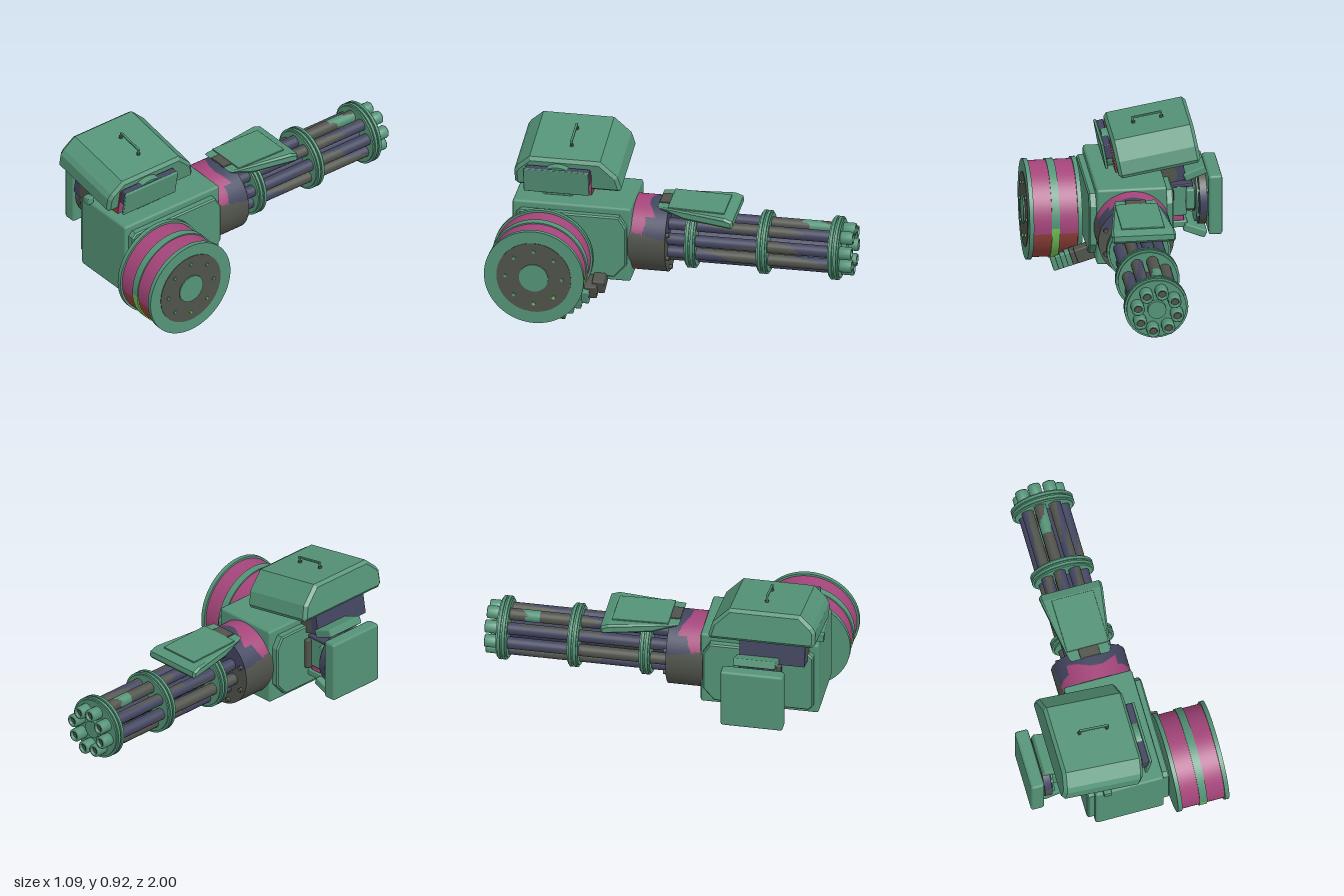
import * as THREE from 'three';
import { RoundedBoxGeometry } from 'three/addons/geometries/RoundedBoxGeometry.js';

const mat = (name, color) => Object.assign(new THREE.MeshStandardMaterial({ color }), { name });
const green = mat('sea green', 0x549377);
const magenta = mat('magenta', 0xa4457a);
const grey = mat('dark grey', 0x50524b);
const navy = mat('navy', 0x42455f);
const red = mat('rust red', 0x93403a);
const lime = mat('lime', 0x70c255);
const moss = mat('moss green', 0x3c612c);
const PALETTE = [green, magenta, grey, navy, red, lime];

function add(parent, name, geo, material, pos = [0, 0, 0]) {
  const m = new THREE.Mesh(geo, material);
  m.name = name;
  m.position.set(...pos);
  parent.add(m);
  return m;
}

// Sorts triangles into material groups by a rule on their centre
function paint(geo, rule) {
  const src = geo.index ? geo.toNonIndexed() : geo;
  const p = src.attributes.position, n = src.attributes.normal;
  const bins = PALETTE.map(() => []);
  for (let i = 0; i < p.count; i += 3) {
    const mid = f => (f(i) + f(i + 1) + f(i + 2)) / 3;
    const c = rule(mid(k => p.getX(k)), mid(k => p.getY(k)), mid(k => p.getZ(k)));
    bins[PALETTE.indexOf(c)].push(i, i + 1, i + 2);
  }
  const out = new THREE.BufferGeometry();
  const order = bins.flat();
  for (const [key, a] of [['position', p], ['normal', n]]) {
    out.setAttribute(key, new THREE.Float32BufferAttribute(order.flatMap(k => [a.getX(k), a.getY(k), a.getZ(k)]), 3));
  }
  let start = 0;
  bins.forEach((b, i) => { if (b.length) out.addGroup(start, b.length, i); start += b.length; });
  return out;
}

// Cylinder along x or z between two stations
function cyl(axis, r, a, b, sides = 40, rows = 1) {
  const g = new THREE.CylinderGeometry(r, r, b - a, sides, rows);
  if (axis === 'x') g.rotateZ(-Math.PI / 2).translate((a + b) / 2, 0, 0);
  else g.rotateX(Math.PI / 2).translate(0, 0, (a + b) / 2);
  return g;
}

const box = (w, h, d, r = 0.012) => new RoundedBoxGeometry(w, h, d, 1, r);
const under = c => [green, green, green, c, green, green];

// Side profile of [z, y] points extruded across x
function slab(profile, width, bevel) {
  const shape = new THREE.Shape(profile.map(([z, y]) => new THREE.Vector2(z, y)));
  const depth = width - 2 * bevel;
  return new THREE.ExtrudeGeometry(shape, {
    depth, bevelThickness: bevel, bevelSize: bevel, bevelOffset: -bevel, bevelSegments: 1,
  }).translate(0, 0, -depth / 2).rotateY(-Math.PI / 2);
}

function buildBody(root) {
  const g = new THREE.Group();
  g.name = 'receiver';
  root.add(g);
  add(g, 'receiverBox', box(0.395, 0.45, 0.67, 0.014), under(moss), [-0.017, 0.39, 0.57]);
  const side = [[0.88, 0.23], [0.855, 0.205], [0.32, 0.205], [0.255, 0.28], [0.255, 0.51], [0.295, 0.575], [0.855, 0.575], [0.88, 0.55]];
  for (const x of [-0.23, 0.195]) add(g, 'sidePlate', slab(side, 0.05, 0.008), green, [x, 0, 0]);
  add(g, 'rearLatch', box(0.047, 0.042, 0.04, 0.005), green, [-0.147, 0.631, 0.905]);

  // Round housing the barrels turn in
  const shell = cyl('z', 0.212, 0.04, 0.25, 96, 32);
  const camo = (x, y, z) => {
    const wave = 0.02 * Math.sin(x * 19 + 1) + 0.012 * Math.sin(y * 31);
    if (y < -0.15 && z > 0.19 + wave) return red;
    if (y < 0.08 + wave + (z - 0.14) * 0.25) return grey;
    return z > 0.13 + wave + (y < 0.16 ? 0.055 : 0) ? magenta : navy;
  };
  add(g, 'barrelHousing', paint(shell, camo), PALETTE, [-0.017, 0.388, 0]);
  for (let i = 0; i < 8; i++) {
    const a = (i + 0.5) * Math.PI / 4;
    add(g, 'housingBolt', cyl('z', 0.013, 0.022, 0.045, 10), grey, [-0.017 + 0.185 * Math.cos(a), 0.388 + 0.185 * Math.sin(a), 0]);
  }
}

function buildBarrels(root) {
  const g = new THREE.Group();
  g.name = 'barrelCluster';
  g.position.set(-0.014, 0.387, 0);
  root.add(g);
  const sleeve = new THREE.LatheGeometry([[0.02, 0], [0.037, 0], [0.037, 0.062], [0.033, 0.068], [0.022, 0.068], [0.022, 0.01]]
    .map(p => new THREE.Vector2(...p)), 18).rotateX(-Math.PI / 2);
  for (let i = 0; i < 8; i++) {
    const a = (i + 0.28) * Math.PI / 4;
    const x = 0.113 * Math.cos(a), y = 0.113 * Math.sin(a);
    // Long camouflage streaks, greyer towards the muzzle
    const tube = paint(cyl('z', 0.034, -0.95, 0.05, 20, 48).translate(x, y, 0), (px, py, pz) => {
      const v = Math.sin(pz * 6 + px * 30 + 0.6) + 0.8 * Math.sin(py * 34 - pz * 4 + 1);
      if (pz < -0.7 && v > 1.25) return green;
      return v > (pz < -0.5 ? -0.1 : 0.4) ? grey : navy;
    });
    add(g, 'barrel', tube, PALETTE);
    add(g, 'muzzleSleeve', sleeve, green, [x, y, -0.932]);
    add(g, 'muzzleBore', cyl('z', 0.0215, -0.985, -0.93, 16), grey, [x, y, 0]);
  }
  add(g, 'centreShaft', cyl('z', 0.05, -0.93, 0.05, 20), navy);
  add(g, 'centreCap', cyl('z', 0.052, -0.955, -0.92, 20), green);
  // Clamp rings: two flanges on a narrower drum
  for (const z of [-0.09, -0.497, -0.9]) {
    add(g, 'clampDrum', cyl('z', 0.167, z - 0.03, z + 0.03), green);
    for (const s of [-0.013, 0.013]) add(g, 'clampFlange', cyl('z', 0.179, z + s - 0.008, z + s + 0.008), green);
  }
}

function buildTopShield(root) {
  const g = new THREE.Group();
  g.name = 'topShield';
  g.position.x = -0.017;
  root.add(g);
  const geo = slab([[0.1, 0.603], [0.08, 0.588], [-0.05, 0.548], [-0.325, 0.53], [-0.338, 0.545], [-0.335, 0.575], [-0.29, 0.592]], 0.36, 0.012);
  const p = geo.attributes.position;
  for (let i = 0; i < p.count; i++) {
    const t = THREE.MathUtils.clamp((p.getZ(i) + 0.3) / 0.4, 0, 1);
    p.setX(i, p.getX(i) * (1 - 0.35 * t));
  }
  geo.computeVertexNormals();
  add(g, 'shieldPlate', geo, green);
  add(g, 'shieldPanel', box(0.24, 0.01, 0.32, 0.003), green, [0, 0.6, -0.12]).rotation.x = -0.028;
  add(g, 'shieldHinge', box(0.115, 0.012, 0.06, 0.004), grey, [0, 0.603, 0.068]);
}

function buildDrum(root) {
  const g = new THREE.Group();
  g.name = 'ammoDrum';
  g.position.set(0, 0.32, 0.717);
  root.add(g);
  add(g, 'drumShell', paint(cyl('x', 0.27, 0.25, 0.515, 144), (x, y) => y < -0.05 ? red : magenta), PALETTE);
  add(g, 'drumBand', paint(cyl('x', 0.277, 0.361, 0.405, 144), (x, y) => y < -0.01 ? lime : green), PALETTE);
  for (const x of [0.235, 0.506]) add(g, 'drumFlange', cyl('x', 0.282, x, x + 0.025, 72), green);
  add(g, 'drumFace', cyl('x', 0.211, 0.52, 0.534, 64), grey);
  add(g, 'drumHub', cyl('x', 0.082, 0.52, 0.541, 40), green);
  add(g, 'drumAxle', cyl('x', 0.082, 0.2, 0.24, 32), grey);
  for (let i = 0; i < 8; i++) {
    const a = i * Math.PI / 4;
    add(g, 'drumBolt', cyl('x', 0.01, 0.53, 0.541, 10), i === 4 || i === 5 ? lime : green, [0, 0.16 * Math.cos(a), 0.16 * Math.sin(a)]);
  }

  // Stepped feed chute under the drum
  const chute = new THREE.Group();
  chute.name = 'feedChute';
  root.add(chute);
  for (let i = 0; i < 6; i++) {
    const t = i / 5;
    const skin = i > 3 ? grey : i > 0 ? under(lime) : [moss, green, green, moss, green, green];
    const link = add(chute, 'chuteLink', box(0.16, 0.085, 0.07, 0.008), skin,
      [0.315 - 0.11 * t, 0.062 + 0.125 * t, 0.6 - 0.2 * t]);
    link.rotation.z = -0.3;
  }
}

function buildTopPod(root) {
  const g = new THREE.Group();
  g.name = 'topPod';
  g.position.set(-0.17, 0.775, 0);
  g.rotation.z = -0.173;
  root.add(g);
  const profile = [[0.9, -0.095], [0.918, -0.075], [0.918, 0.0], [0.9, 0.03], [0.83, 0.095], [0.43, 0.095], [0.335, 0.0], [0.315, -0.075], [0.325, -0.095]];
  add(g, 'podShell', slab(profile, 0.465, 0.018), green);
  // Carry handle
  for (const x of [-0.075, 0.085]) {
    add(g, 'handlePost', new THREE.CylinderGeometry(0.006, 0.006, 0.034, 8), green, [x, 0.108, 0.615]);
    add(g, 'handleFoot', new THREE.CylinderGeometry(0.011, 0.011, 0.012, 10), grey, [x, 0.1, 0.615]);
  }
  add(g, 'handleBar', box(0.172, 0.011, 0.014, 0.003), green, [0.005, 0.127, 0.615]);
  // Mount beneath the pod
  const core = new THREE.BoxGeometry(0.38, 0.29, 0.37, 38, 29, 8).translate(0.05, -0.105, 0.665);
  add(g, 'podMount', paint(core, (x, y) => {
    const edge = 0.02 * Math.sin(y * 30 + 2);
    if (x > 0.238) return magenta;
    if (x > 0.15 + edge) return red;
    if (x > 0.06 + edge) return magenta;
    return Math.abs(x + y * 0.4 + 0.11) < 0.05 + edge ? grey : navy;
  }), PALETTE);
  add(g, 'mountLip', box(0.19, 0.03, 0.39, 0.005), green, [0.12, -0.1, 0.665]).rotation.z = 0.3;
  add(g, 'mountCollar', cyl('x', 0.11, 0.2, 0.27, 40), green, [0, -0.04, 0.665]);
  add(g, 'mountBlock', box(0.04, 0.09, 0.36, 0.006), navy, [0.258, 0.01, 0.665]);
  add(g, 'mountPlate', box(0.016, 0.15, 0.37, 0.005), green, [0.283, -0.016, 0.67]);
}

function buildSidePod(root) {
  const g = new THREE.Group();
  g.name = 'sidePod';
  g.position.set(0, 0.417, 0.585);
  root.add(g);
  add(g, 'podBox', box(0.077, 0.355, 0.353, 0.014), under(moss), [-0.507, 0, 0]);
  add(g, 'podDisc', paint(cyl('x', 0.165, -0.462, -0.42, 64, 6), (x, y, z) => Math.sin(y * 22 + z * 13) > 0.2 ? grey : navy), PALETTE);
  add(g, 'podRim', cyl('x', 0.15, -0.415, -0.405, 48), green);
  add(g, 'podAxle', cyl('x', 0.09, -0.475, -0.25, 32), grey);
  add(g, 'axleBlock', box(0.05, 0.12, 0.2, 0.01), green, [-0.375, 0.01, 0]);
  add(g, 'axleCradle', box(0.09, 0.18, 0.18, 0.01), green, [-0.31, 0, 0]);
  add(g, 'cradleTop', box(0.13, 0.018, 0.19, 0.005), navy, [-0.325, 0.094, 0]);
  add(g, 'cradleFoot', box(0.07, 0.035, 0.16, 0.005), magenta, [-0.305, -0.105, 0]);
  add(g, 'axleBase', box(0.03, 0.18, 0.24, 0.008), grey, [-0.265, -0.01, 0]);
  // Slanted clamp arms above and below
  for (const s of [1, -1]) {
    const skin = s > 0 ? green : under(lime);
    add(g, 'clampArm', box(0.13, 0.045, 0.24, 0.008), skin, [-0.4, s * 0.172, 0]).rotation.z = -s * 0.38;
    add(g, 'armBracket', box(0.12, 0.04, 0.18, 0.008), skin, [-0.3, s * 0.14, 0]);
    for (const z of [-0.12, 0.12]) add(g, 'clampPin', cyl('x', 0.014, -0.475, -0.405, 10), green, [0, s * 0.07, z]);
  }
}

export function createModel() {
  const root = new THREE.Group();
  root.name = 'rotaryCannon';
  [buildBody, buildBarrels, buildTopShield, buildDrum, buildTopPod, buildSidePod].forEach(build => build(root));
  return root;
}
